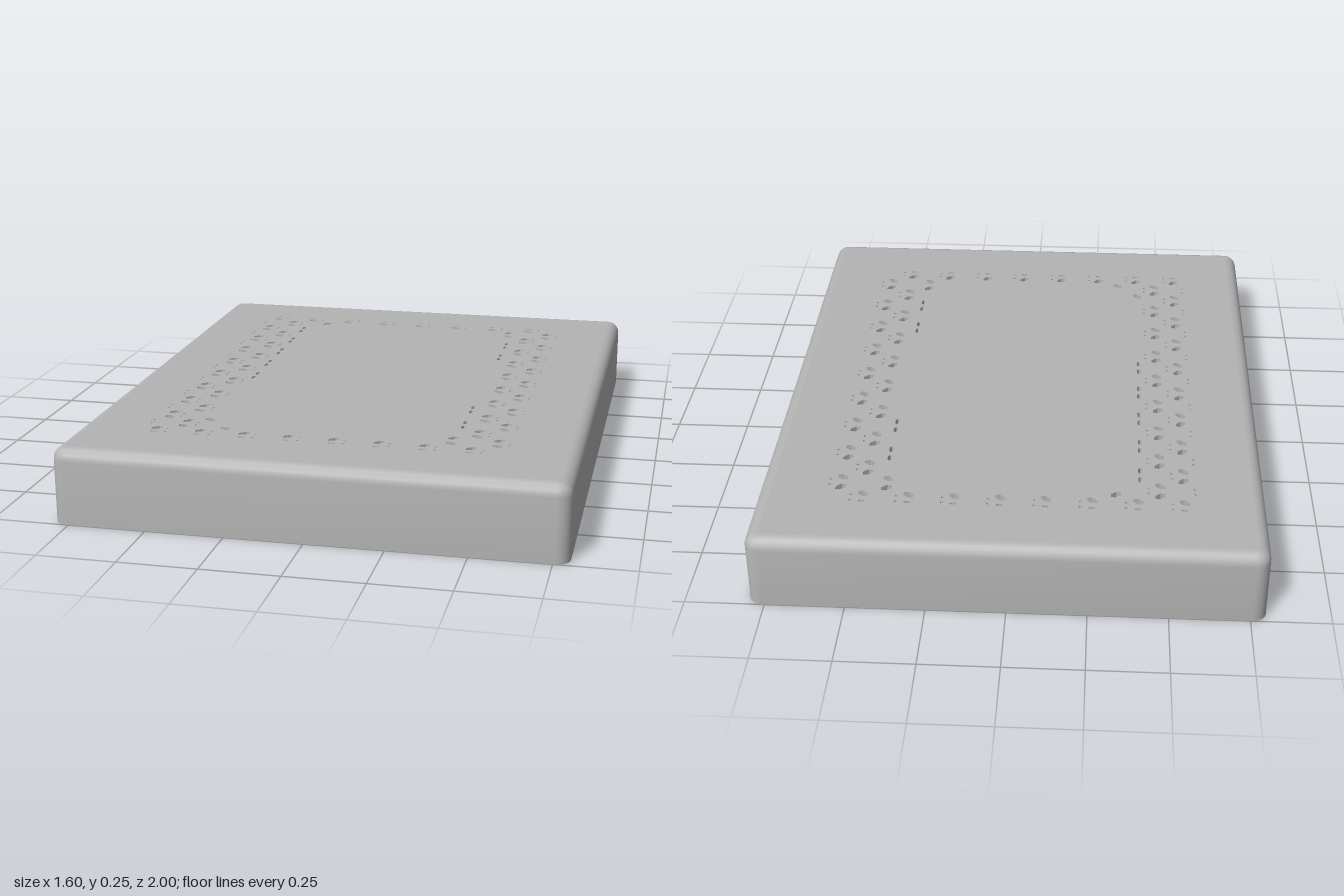
import * as THREE from 'three';
import { toCreasedNormals } from 'three/addons/utils/BufferGeometryUtils.js';

const W = 0.8, L = 1, H = 0.245;            // half width, half length, height
const WALL = 0.04, FILLET = 0.04;
const CEILING = 0.165, PIT_TOP = 0.222;     // underside of the lid plate, floor of the pits
const PITCH = 0.167;                        // spacing of the vent pattern along z

// Rounded rectangle outline, pulled in by an inset
function outline(inset) {
  const pts = [], r = Math.max(0.045 - inset, 0.004);
  const cx = W - inset - r, cz = L - inset - r;
  [[1, 1], [-1, 1], [-1, -1], [1, -1]].forEach(([sx, sz], q) => {
    for (let i = 0; i <= 6; i++) {
      const a = (q + i / 6) * Math.PI / 2;
      pts.push([sx * cx + r * Math.cos(a), sz * cz + r * Math.sin(a)]);
    }
  });
  return pts;
}

// Skin through a series of outlines, each given as [inset, y]
function skin(profile) {
  const pos = [], idx = [];
  const rings = profile.map(([inset]) => outline(inset));
  const n = rings[0].length;
  rings.forEach((ring, k) => ring.forEach(([x, z]) => pos.push(x, profile[k][1], z)));
  for (let k = 0; k < rings.length - 1; k++) {
    for (let i = 0; i < n; i++) {
      const j = (i + 1) % n, a = k * n + i, b = k * n + j, c = a + n, d = b + n;
      idx.push(a, c, b, b, c, d);
    }
  }
  const g = new THREE.BufferGeometry();
  g.setAttribute('position', new THREE.Float32BufferAttribute(pos, 3));
  g.setIndex(idx);
  return toCreasedNormals(g, 0.6);
}

// Polygon hole: stretched along a direction, given in x and z
function polygon(x, z, rx, ry, angle, sides, start = 0) {
  const pts = [];
  for (let i = 0; i < sides; i++) {
    const a = start + i / sides * Math.PI * 2;
    const u = rx * Math.cos(a), v = ry * Math.sin(a);
    pts.push(new THREE.Vector2(
      x + u * Math.cos(angle) - v * Math.sin(angle),
      -z + u * Math.sin(angle) + v * Math.cos(angle)));
  }
  return new THREE.Path(pts);
}

// Small vents that pass right through the plate, in a frame around the middle
function ventHoles() {
  const holes = [];
  const slanted = (x, z, up) => holes.push(polygon(x, z, 0.021, 0.013, up * 0.7, 6));
  const slot = (x, z) => holes.push(polygon(x, z, 0.013, 0.006, 0, 6));
  const dots = (x, z) => [-1, 1].forEach(s =>
    holes.push(polygon(x, z + s * 0.014, 0.005, 0.005, 0, 6)));
  const pair = (x, z) => {
    slanted(x, z - 0.027, 1);
    slanted(x, z + 0.027, -1);
    dots(x + 0.037, z);
  };
  // Long sides: two staggered columns each
  for (let k = 0; k < 9; k++) {
    const zA = -0.59 + k * PITCH, zB = -0.675 + k * PITCH;
    if (k < 8) [-0.545, 0.465].forEach(x => pair(x, zA));
    [-0.47, 0.54].forEach(x => pair(x, zB));
    dots(-0.58, zB);
  }
  // Short sides: one row each
  for (let k = 0; k < 8; k++) {
    const x = -0.545 + k * 0.1443;
    slanted(x, -0.735, -1);
    slot(x, -0.775);
    slanted(x, 0.725, 1);
    slot(x, 0.765);
    dots(x + 0.037, -0.757);
    dots(x + 0.037, 0.746);
  }
  // Narrow vents along the edge of the closed middle
  const narrow = (x, z) => [-1, 1].forEach(s =>
    holes.push(polygon(x, z + s * 0.025, 0.007, 0.017, 0, 6, Math.PI / 6)));
  for (let k = 0; k < 5; k++) narrow(-0.407, -0.59 + k * PITCH);
  [-0.508, -0.341, 0.327, 0.494].forEach(z => narrow(0.406, z));
  // Corners of the closed middle
  slanted(0.395, -0.70, 1);
  slanted(0.395, -0.65, -1);
  slanted(0.395, 0.634, 1);
  slanted(0.395, 0.688, -1);
  slanted(-0.33, -0.70, 1);
  slanted(-0.33, 0.69, -1);
  slanted(-0.405, 0.61, -1);
  return holes;
}

// Closed hexagonal pits under the middle
function pitHoles() {
  const holes = [];
  for (let c = 0; c < 6; c++) {
    for (let r = 0; r < 8; r++) {
      const z = (r - 3.5) * 0.165 + (c % 2 ? 0.041 : -0.041);
      holes.push(polygon((c - 2.5) * 0.14, z, 0.048, 0.048, 0, 6));
    }
  }
  return holes;
}

function plate(holes, y0, y1) {
  const x = W - WALL, z = L - WALL;
  const shape = new THREE.Shape([[-x, -z], [x, -z], [x, z], [-x, z]]
    .map(p => new THREE.Vector2(...p)));
  shape.holes = holes;
  const g = new THREE.ExtrudeGeometry(shape, { depth: y1 - y0, bevelEnabled: false });
  g.rotateX(-Math.PI / 2);
  g.translate(0, y0, 0);
  return g;
}

export function createModel() {
  const group = new THREE.Group();
  const grey = new THREE.MeshStandardMaterial({ color: 0xb4b4b4 });
  grey.name = 'plainGrey';
  const add = (name, geometry) => {
    const mesh = new THREE.Mesh(geometry, grey);
    mesh.name = name;
    group.add(mesh);
    return mesh;
  };

  // Side walls with rim and rounded top edge
  const profile = [[WALL, CEILING], [WALL, 0], [0, 0]];
  for (let i = 0; i <= 6; i++) {
    const a = i / 6 * Math.PI / 2;
    profile.push([FILLET * (1 - Math.cos(a)), H - FILLET + FILLET * Math.sin(a)]);
  }
  add('sideWalls', skin(profile));

  // Lid plate in two layers: only the lower one has the pits
  add('topPlate', plate(ventHoles(), PIT_TOP, H));
  add('honeycombPlate', plate([...ventHoles(), ...pitHoles()], CEILING, PIT_TOP));

  // Round snap bumps on the inner long walls
  for (const sx of [-1, 1]) {
    for (const sz of [-1, 1]) {
      const bump = add('snapBump', new THREE.SphereGeometry(0.028, 16, 12));
      bump.scale.x = 0.7;
      bump.position.set(sx * (W - WALL), 0.073, sz * 0.5);
    }
  }
  return group;
}
